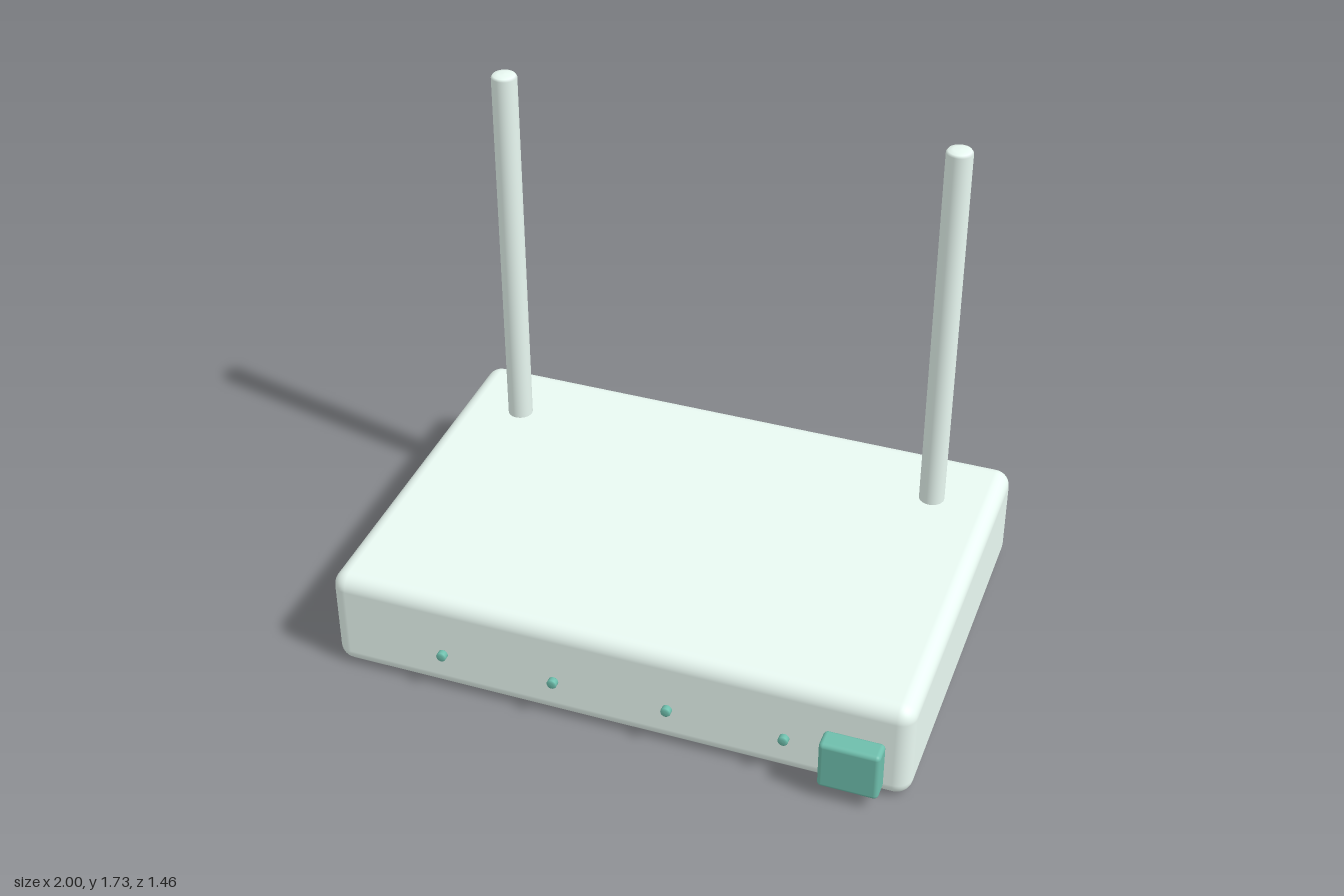
import * as THREE from 'three';
import { RoundedBoxGeometry } from 'three/addons/geometries/RoundedBoxGeometry.js';

export function createModel() {
  const model = new THREE.Group();
  model.name = 'wirelessRouter';

  const paleGreen = new THREE.MeshStandardMaterial({ color: 0xe9f9f2 });
  const green = new THREE.MeshStandardMaterial({ color: 0x6ebeac });
  const dark = new THREE.MeshStandardMaterial({ color: 0x2b3236 });

  const add = (name, geometry, material, x, y, z) => {
    const mesh = new THREE.Mesh(geometry, material);
    mesh.name = name;
    mesh.position.set(x, y, z);
    model.add(mesh);
    return mesh;
  };

  // Rounded box given by its size and centre
  const addBox = (name, [w, h, d], radius, material, x, y, z) =>
    add(name, new RoundedBoxGeometry(w, h, d, 5, radius), material, x, y, z);

  // Closed round rod from y = 0 up, with a softened foot and a slightly domed cap
  const rod = (radius, height, bevel, sides) => {
    const points = [[0, 0], [radius - bevel, 0], [radius, bevel], [radius, height - bevel],
      [radius * 0.87, height - bevel * 0.35], [radius * 0.5, height - bevel * 0.1], [0, height]];
    return new THREE.LatheGeometry(points.map(([x, y]) => new THREE.Vector2(x, y)), sides);
  };

  // Case
  addBox('case', [2, 0.365, 1.362], 0.055, paleGreen, 0, 0.1825, -0.025);

  // Pair of upright antennas near the back corners
  const antenna = rod(0.044, 1.39, 0.012, 32);
  for (const side of [-1, 1]) {
    add(side > 0 ? 'leftAntenna' : 'rightAntenna', antenna, paleGreen, side * 0.773, 0.34, -0.437);
  }

  // Status lights, thin discs just proud of the front
  const light = rod(0.017, 0.028, 0.005, 20);
  for (let i = 0; i < 4; i++) {
    add('statusLight' + (i + 1), light, green, -0.591 + i * 0.394, 0.157, 0.662).rotation.x = Math.PI / 2;
  }

  // Button block on the front
  addBox('frontButton', [0.2, 0.18, 0.077], 0.015, green, 0.818, 0.137, 0.692);

  // Row of sockets across the back
  for (let i = 0; i < 5; i++) {
    addBox('socket' + (i + 1), [0.192, 0.156, 0.032], 0.008, dark, (i - 2) * 0.341, 0.165, -0.716);
  }

  return model;
}
